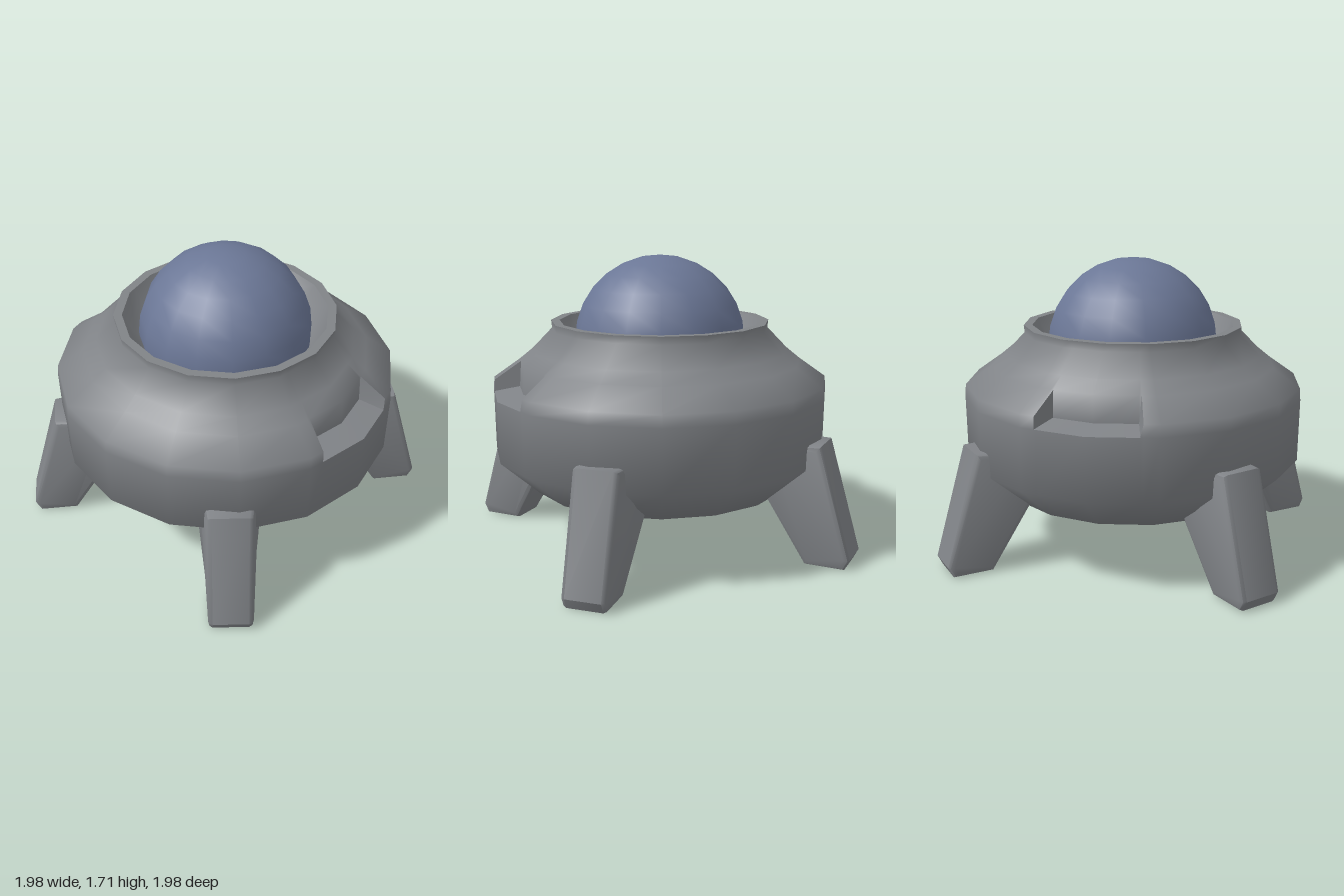
import * as THREE from 'three';
import { toCreasedNormals } from 'three/addons/utils/BufferGeometryUtils.js';

const RAD = Math.PI / 180;
const STEP = 22.5;

// Hull cross-section as [radius, height], from the belly up and into the cockpit well
const HULL = [
  [0, 0.36], [0.76, 0.36], [0.985, 0.56], [0.99, 0.92], [0.985, 0.99], [0.83, 1.1],
  [0.75, 1.165], [0.635, 1.285], [0.64, 1.33], [0.59, 1.33], [0.52, 1.2], [0.45, 1.14],
];
// The same section where the front and back recesses are cut out of the shoulder
const RECESS = HULL.map((p, j) => (j === 4 ? [0.84, 0.95] : p));

// Sixteen-sided hull with extra columns at the ends of the two recesses
function hullGeometry() {
  const columns = [];
  for (let i = 0; i < 16; i++) columns.push(i * STEP);
  for (const mid of [0, 180]) {
    for (const off of [-17.5, -16.5, 16.5, 17.5]) columns.push((mid + off + 360) % 360);
  }
  columns.sort((a, b) => a - b);
  columns.push(360);

  const positions = [];
  const indices = [];
  const n = HULL.length;
  columns.forEach((deg, i) => {
    const fromAxis = Math.min(deg % 180, 180 - (deg % 180));
    const section = fromAxis < 17 ? RECESS : HULL;
    // keep extra columns on the flat sides of the polygon
    const flat = Math.cos(RAD * STEP / 2) / Math.cos(RAD * ((deg % STEP) - STEP / 2));
    section.forEach(([r, y], j) => {
      positions.push(r * flat * Math.sin(deg * RAD), y, r * flat * Math.cos(deg * RAD));
      if (i < columns.length - 1 && j < n - 1) {
        const a = i * n + j;
        const b = a + n;
        if (j > 0) indices.push(a, b, b + 1);
        indices.push(a, b + 1, a + 1);
      }
    });
  });
  const geometry = new THREE.BufferGeometry();
  geometry.setAttribute('position', new THREE.Float32BufferAttribute(positions, 3));
  geometry.setIndex(indices);
  return toCreasedNormals(geometry, 1.0);
}

// Leg profile in the radial plane, bevelled, and widened towards the hull
function legGeometry() {
  const shape = new THREE.Shape([
    [0.955, 0], [1.185, 0], [1.215, 0.06], [1.03, 0.7], [0.72, 0.7], [0.72, 0.4],
  ].map(([x, y]) => new THREE.Vector2(x, y)));
  const bevel = 0.03;
  const geometry = new THREE.ExtrudeGeometry(shape, {
    depth: 2 - 0.4, bevelThickness: 0.2, bevelSize: bevel, bevelOffset: -bevel, bevelSegments: 2,
  });
  geometry.translate(0, 0, -0.8);
  const p = geometry.attributes.position;
  for (let i = 0; i < p.count; i++) {
    const inward = THREE.MathUtils.clamp((1.22 - 0.27 * p.getY(i) - p.getX(i)) / 0.36, 0, 1);
    const up = THREE.MathUtils.clamp(p.getY(i) / 0.36, 0, 1);
    p.setZ(i, p.getZ(i) * (0.127 + 0.048 * inward * up));
  }
  return toCreasedNormals(geometry, 0.7);
}

export function createModel() {
  const hullGrey = new THREE.MeshStandardMaterial({ color: 0x808387 });
  hullGrey.name = 'hull grey';
  const domeBlue = new THREE.MeshStandardMaterial({ color: 0x6b7796 });
  domeBlue.name = 'dome blue';

  const model = new THREE.Group();
  model.name = 'landingPod';
  const add = (name, geometry, material) => {
    const mesh = new THREE.Mesh(geometry, material);
    mesh.name = name;
    model.add(mesh);
    return mesh;
  };

  add('hull', hullGeometry(), hullGrey);

  // Domed canopy resting in the well
  add('dome', new THREE.SphereGeometry(0.5, 16, 14), domeBlue).position.y = 1.21;

  // Four splayed legs
  const leg = legGeometry();
  const legs = { frontLeftLeg: 42, frontRightLeg: 138, backRightLeg: 222, backLeftLeg: 318 };
  for (const [name, angle] of Object.entries(legs)) {
    add(name, leg, hullGrey).rotation.y = -angle * RAD;
  }
  return model;
}
